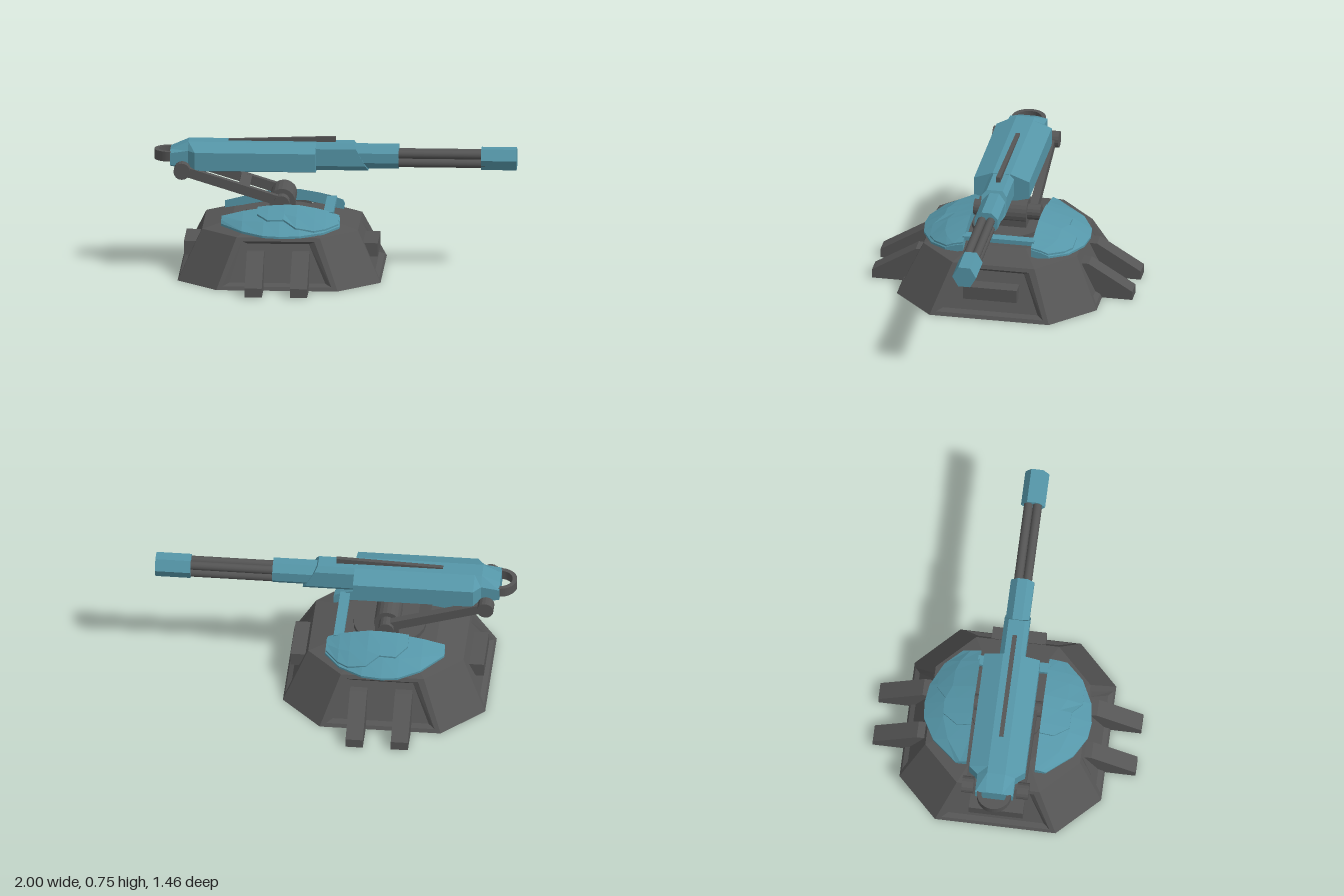
import * as THREE from 'three';

const CX = -0.295; // base centre on x

export function createModel() {
  const model = new THREE.Group();
  const dark = new THREE.MeshStandardMaterial({ color: 0x555555, flatShading: true });
  const blue = new THREE.MeshStandardMaterial({ color: 0x5596a8, flatShading: true });
  const smoothDark = new THREE.MeshStandardMaterial({ color: 0x555555 });

  const add = (name, geo, mat, x = 0, y = 0, z = 0) => {
    const m = new THREE.Mesh(geo, mat);
    m.name = name;
    m.position.set(x, y, z);
    model.add(m);
    return m;
  };
  const box = (name, w, h, d, mat, x, y, z) => add(name, new THREE.BoxGeometry(w, h, d), mat, x, y, z);
  const cyl = (name, r, len, axis, sides, mat, x, y, z) => {
    const g = new THREE.CylinderGeometry(r, r, len, sides);
    if (sides === 8) g.rotateY(Math.PI / 8);
    if (axis === 'x') g.rotateZ(Math.PI / 2);
    if (axis === 'z') g.rotateX(Math.PI / 2);
    return add(name, g, mat, x, y, z);
  };

  // flat polygons, fanned into triangles
  const faces = (polys) => {
    const p = [];
    for (const f of polys)
      for (let i = 1; i < f.length - 1; i++) p.push(...f[0], ...f[i], ...f[i + 1]);
    const g = new THREE.BufferGeometry();
    g.setAttribute('position', new THREE.Float32BufferAttribute(p, 3));
    g.computeVertexNormals();
    return g;
  };
  // closed skin through a row of cross-sections
  const loft = (rings) => {
    const polys = [[...rings[0]].reverse(), rings[rings.length - 1]];
    for (let k = 0; k < rings.length - 1; k++) {
      const a = rings[k], b = rings[k + 1];
      a.forEach((_, i) => {
        const j = (i + 1) % a.length;
        polys.push([a[i], a[j], b[j], b[i]]);
      });
    }
    return faces(polys);
  };

  // base: eight-sided, with a recessed panel on each main side
  const H = 0.27;
  const turn = (k, u, y, r) => {
    const c = Math.round(Math.cos(k * Math.PI / 2)), s = Math.round(Math.sin(k * Math.PI / 2));
    return [CX + u * c + r * s, y, -u * s + r * c];
  };
  const trap = (k, w0, y0, w1, y1, depth) =>
    [[-w0, y0], [w0, y0], [w1, y1], [-w1, y1]].map(([u, y]) => turn(k, u, y, 0.56 - 0.13 * y / H - depth));
  const basePolys = [], floor = [];
  for (let k = 0; k < 4; k++) {
    const O = trap(k, 0.335, 0, 0.23, H, 0);
    const A = trap(k, 0.3, 0.02, 0.2, 0.25, 0);
    const B = trap(k, 0.265, 0.035, 0.17, 0.235, 0.02);
    for (let i = 0; i < 4; i++) {
      const j = (i + 1) % 4;
      basePolys.push([O[i], O[j], A[j], A[i]], [A[i], A[j], B[j], B[i]]);
    }
    const N = trap(k + 1, 0.335, 0, 0.23, H, 0);
    basePolys.push(B, [O[1], N[0], N[3], O[2]]);
    floor.push(O[0], O[1]);
  }
  basePolys.push(floor.reverse());
  add('base', faces(basePolys), dark);

  const octagon = (r, w, y) => [0, 1, 2, 3].flatMap((k) => [turn(k, -w, y, r), turn(k, w, y, r)]);
  add('baseRoof', loft([octagon(0.43, 0.23, H), octagon(0.27, 0.15, 0.31)]), dark);
  cyl('turntable', 0.2, 0.06, 'y', 24, dark, CX, 0.305, 0);

  for (const s of [1, -1]) {
    box('sideBlock', 0.12, 0.075, 0.3, dark, CX + s * 0.475, 0.143, 0);
    // sloped stabiliser feet
    for (const x of [-0.465, -0.215]) {
      const zy = [[0.4, 0], [0.4, 0.2], [0.485, 0.2], [0.73, 0.05], [0.73, 0]];
      const ring = (px) => {
        const r = zy.map(([z, y]) => [px, y, s * z]);
        return s > 0 ? r : r.reverse();
      };
      add('stabiliserFoot', loft([ring(x), ring(x + 0.095)]), dark);
    }
  }

  // armour shields: [x, outer z, inner height, rim height]
  const shield = [
    [-0.62, 0.25, 0.335, 0.305], [-0.5, 0.39, 0.365, 0.295], [-0.38, 0.455, 0.385, 0.285],
    [-0.29, 0.465, 0.392, 0.283], [-0.18, 0.45, 0.392, 0.283], [-0.05, 0.385, 0.365, 0.29],
    [0.035, 0.29, 0.335, 0.305],
  ];
  const zIn = 0.19;
  const height = (x, z) => {
    let i = 0;
    while (i < shield.length - 2 && x > shield[i + 1][0]) i++;
    const a = shield[i], b = shield[i + 1], t = (x - a[0]) / (b[0] - a[0]);
    const [zo, yi, yr] = [1, 2, 3].map((n) => a[n] + (b[n] - a[n]) * t);
    const f = (z - zIn) / (zo - zIn);
    const drop = f < 0.6 ? f * 0.75 : 0.45 + (f - 0.6) * 1.375;
    return yi + (yr - yi) * drop;
  };
  const plateRing = (s, x, zo, lift, inner, rim) => {
    const zm = zIn + 0.6 * (zo - zIn);
    const top = [zIn, zm, zo].map((z) => [x, height(x, z) + lift, s * z]);
    const r = [[x, top[0][1] - inner, s * zIn], ...top, [x, top[2][1] - rim, s * zo]];
    return s > 0 ? r : r.reverse();
  };
  const overlay = [[-0.42, 0.27], [-0.36, 0.35], [-0.27, 0.35], [-0.2, 0.405], [-0.1, 0.4], [-0.04, 0.365], [0.03, 0.285]];
  for (const s of [1, -1]) {
    add('shield', loft(shield.map(([x, zo]) => plateRing(s, x, zo, 0, 0.05, 0.012))), blue);
    add('shieldOverlay', loft(overlay.map(([x, zo]) => plateRing(s, x, zo, 0.01, 0.03, 0.02))), blue);
    box('shieldBracket', 0.3, 0.06, 0.07, dark, CX, 0.31, s * 0.245);
  }
  box('shieldBridge', 0.055, 0.025, 0.4, blue, -0.03, 0.353, 0);

  // lifting arms and pivots
  box('hubPedestal', 0.13, 0.09, 0.23, dark, -0.29, 0.36, 0);
  cyl('hub', 0.072, 0.23, 'z', 20, dark, -0.29, 0.402, 0);
  const low = new THREE.Vector2(-0.29, 0.41), high = new THREE.Vector2(-0.84, 0.58);
  const span = low.clone().sub(high);
  for (const s of [1, -1]) {
    const arm = box('liftArm', span.length(), 0.052, 0.045, dark, (low.x + high.x) / 2, (low.y + high.y) / 2, s * 0.143);
    arm.rotation.z = span.angle();
    cyl('upperPivot', 0.046, 0.065, 'z', 16, dark, high.x, high.y, s * 0.153);
    cyl('lowerPivot', 0.044, 0.075, 'z', 16, dark, low.x, low.y - 0.005, s * 0.15);
  }
  box('armCrossbar', 0.06, 0.028, 0.25, dark, -0.5, 0.487, 0).rotation.z = span.angle();

  // gun body: half widths at side, top and bottom, then four heights
  const section = (x, w, t, b, y0, y1, y2, y3, shear = 0) =>
    [[-w, y1], [-w, y2], [-t, y3], [t, y3], [w, y2], [w, y1], [b, y0], [-b, y0]]
      .map(([z, y]) => [x + shear * (y3 - y), y, z]);
  add('gunBody', loft([
    section(-0.91, 0.105, 0.045, 0.06, 0.585, 0.6, 0.665, 0.677),
    section(-0.81, 0.105, 0.05, 0.07, 0.57, 0.585, 0.68, 0.72),
    section(-0.77, 0.155, 0.05, 0.08, 0.56, 0.58, 0.68, 0.72),
    section(-0.105, 0.155, 0.05, 0.08, 0.56, 0.58, 0.68, 0.72),
  ]), blue);
  add('gunCollar', loft([
    section(-0.11, 0.07, 0.045, 0.045, 0.567, 0.595, 0.69, 0.718),
    section(0.1, 0.07, 0.045, 0.045, 0.567, 0.595, 0.69, 0.718, 0.55),
  ]), blue);
  cyl('barrelSleeve', 0.07, 0.27, 'x', 8, blue, 0.215, 0.64, 0);

  // four barrels and a six-sided muzzle
  for (const y of [0.608, 0.656])
    for (const z of [-0.025, 0.025]) cyl('barrel', 0.024, 0.5, 'x', 12, smoothDark, 0.58, y, z);
  cyl('muzzle', 0.067, 0.195, 'x', 6, blue, 0.9025, 0.633, 0);

  // top rail, rising to the front
  const rail = (x, top) => [[x, 0.71, -0.012], [x, top, -0.012], [x, top, 0.012], [x, 0.71, 0.012]];
  add('topRail', loft([rail(-0.59, 0.728), rail(0, 0.748)]), dark);

  // rear handle loop
  const loop = new THREE.Shape();
  loop.absarc(0, 0, 0.095, Math.PI / 2, Math.PI * 1.5, false);
  loop.absarc(0, 0, 0.07, Math.PI * 1.5, Math.PI / 2, true);
  const loopGeo = new THREE.ExtrudeGeometry(loop, { depth: 0.055, bevelEnabled: false, curveSegments: 12 });
  loopGeo.rotateX(Math.PI / 2);
  add('rearHandle', loopGeo, dark, -0.905, 0.67, 0);

  return model;
}
